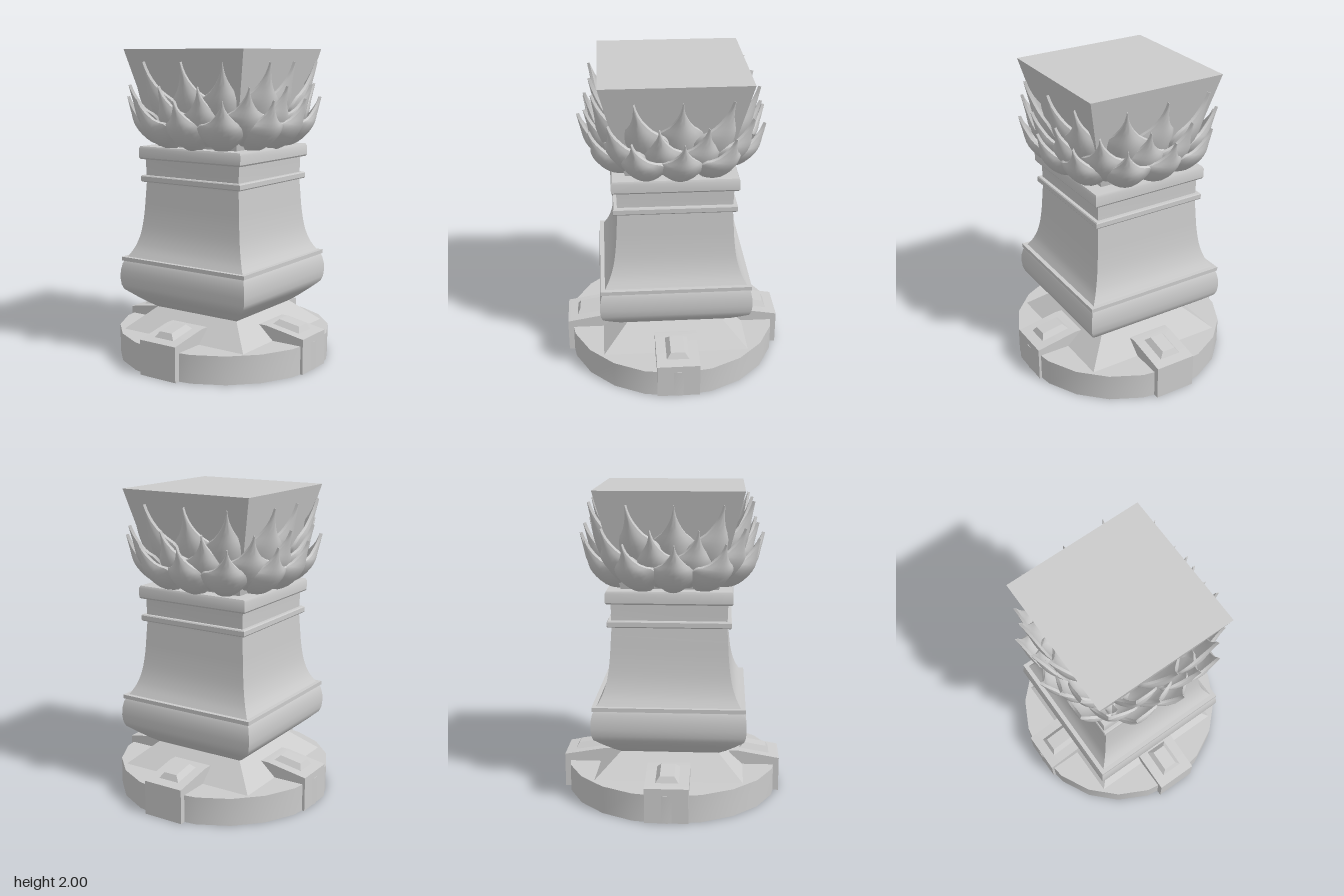
import * as THREE from 'three';
import { toCreasedNormals } from 'three/addons/utils/BufferGeometryUtils.js';

const grey = new THREE.MeshStandardMaterial({ color: 0xcccccc });
const greyBoth = new THREE.MeshStandardMaterial({ color: 0xcccccc, side: THREE.DoubleSide });

function mesh(name, geometry, parent, material = grey) {
  const m = new THREE.Mesh(toCreasedNormals(geometry, 0.6), material);
  m.name = name;
  parent.add(m);
  return m;
}

// Square moulding: profile of [half width, height], swept round four sides
function squareLoft(name, profile, parent) {
  const pts = profile.map(([h, y]) => new THREE.Vector2(h * Math.SQRT2, y));
  return mesh(name, new THREE.LatheGeometry(pts, 4, Math.PI / 4), parent, greyBoth);
}

// Cupped, pointed petal: a box bent along a profile of [radius, height]
function petalGeometry(profile, halfWidth) {
  const curve = new THREE.CatmullRomCurve3(profile.map(([r, y]) => new THREE.Vector3(0, y, r)));
  const widths = new THREE.SplineCurve(
    [[0, 0.45], [0.2, 0.8], [0.42, 1], [0.6, 0.86], [0.8, 0.42], [0.92, 0.13], [1, 0.01]]
      .map(([v, w]) => new THREE.Vector2(v, w)));
  const g = new THREE.BoxGeometry(2, 1, 1, 8, 14, 1);
  const pos = g.attributes.position;
  for (let i = 0; i < pos.count; i++) {
    const u = pos.getX(i), v = pos.getY(i) + 0.5;
    const p = curve.getPoint(v), t = curve.getTangent(v);
    const w = widths.getPoint(v).y * halfWidth;
    const off = (pos.getZ(i) - 0.5) * 0.018 - 0.55 * w * u * u;
    pos.setXYZ(i, u * w, p.y - t.z * off, p.z + t.y * off);
  }
  return g;
}

export function createModel() {
  const model = new THREE.Group();
  model.name = 'pedestal';

  // Hollow round base
  const base = new THREE.Group();
  base.name = 'base';
  model.add(base);
  mesh('baseWall', new THREE.CylinderGeometry(0.695, 0.695, 0.18, 20, 1, true), base, greyBoth).position.y = 0.09;
  const top = mesh('baseTop', new THREE.CircleGeometry(0.695, 20), base, greyBoth);
  top.rotation.x = -Math.PI / 2;
  top.position.y = 0.18;

  // Four sloping blocks with bevelled studs
  const side = new THREE.Shape(
    [[0.46, 0], [0.69, 0], [0.69, 0.225], [0.42, 0.272], [0.36, 0.272]].map(([x, y]) => new THREE.Vector2(x, y)));
  const blockGeo = new THREE.ExtrudeGeometry(side, { depth: 0.274, bevelEnabled: false });
  blockGeo.translate(0, 0, -0.137);
  const studGeo = new THREE.BoxGeometry(0.22, 0.05, 0.17);
  const sp = studGeo.attributes.position;
  for (let i = 0; i < sp.count; i++) {
    if (sp.getY(i) > 0) sp.setXYZ(i, sp.getX(i) * 0.66, sp.getY(i), sp.getZ(i) * 0.53);
  }
  for (let i = 0; i < 4; i++) {
    const foot = new THREE.Group();
    foot.name = 'foot';
    foot.rotation.y = i * Math.PI / 2;
    const shift = i % 2 ? 0.02 : 0;
    mesh('footBlock', blockGeo, foot).position.x = shift;
    const stud = mesh('footStud', studGeo, foot);
    stud.position.set(0.53 + shift, 0.262, 0);
    stud.rotation.z = -0.173;
    base.add(foot);
  }

  // Sloped plinth between base and shaft
  squareLoft('plinth', [[0.47, 0.18], [0.31, 0.325]], model);

  // Square shaft: undercut, bulge and concave taper
  const taper = new THREE.SplineCurve(
    [[0.45, 0.665], [0.415, 0.73], [0.388, 0.82], [0.372, 0.94], [0.364, 1.06], [0.358, 1.16]]
      .map(([h, y]) => new THREE.Vector2(h, y))).getPoints(16).map(p => [p.x, p.y]);
  squareLoft('shaft', [
    [0.31, 0.32], [0.36, 0.355], [0.42, 0.405], [0.47, 0.45], [0.481, 0.48], [0.486, 0.525],
    [0.484, 0.575], [0.475, 0.62], [0.465, 0.642], ...taper, [0.362, 1.31],
  ], model);

  // Bands and cap
  squareLoft('lowerBand', [[0.44, 0.64], [0.478, 0.64], [0.478, 0.665], [0.44, 0.665]], model);
  squareLoft('upperBand', [
    [0.35, 1.155], [0.38, 1.155], [0.385, 1.162], [0.385, 1.19], [0.38, 1.197], [0.35, 1.197]], model);
  squareLoft('cap', [
    [0.35, 1.302], [0.386, 1.302], [0.393, 1.312], [0.393, 1.37], [0.386, 1.385], [0, 1.385]], model);

  // Flared square top block
  squareLoft('topBlock', [[0.3, 1.37], [0.455, 2], [0, 2]], model);

  // Three rows of petals, spread a little wider towards the corners
  const rows = [
    { name: 'lowerPetal', turn: 4, corner: 0.07, half: 0.158,
      path: [[0.36, 1.365], [0.465, 1.415], [0.545, 1.51], [0.57, 1.6], [0.592, 1.695]] },
    { name: 'middlePetal', turn: 19, corner: 0.13, half: 0.155,
      path: [[0.34, 1.4], [0.44, 1.47], [0.502, 1.57], [0.525, 1.67], [0.55, 1.775]] },
    { name: 'upperPetal', turn: 4, corner: 0.2, half: 0.155,
      path: [[0.32, 1.45], [0.41, 1.55], [0.46, 1.67], [0.485, 1.79], [0.512, 1.92]] },
  ];
  const crown = new THREE.Group();
  crown.name = 'petalCrown';
  model.add(crown);
  for (const row of rows) {
    for (let i = 0; i < 12; i++) {
      const a = THREE.MathUtils.degToRad(row.turn + i * 30);
      const k = 1 + row.corner * Math.sin(2 * a) ** 2;
      const path = row.path.map(([r, y]) => [r * k, y]);
      mesh(row.name, petalGeometry(path, row.half), crown).rotation.y = a;
    }
  }
  return model;
}
